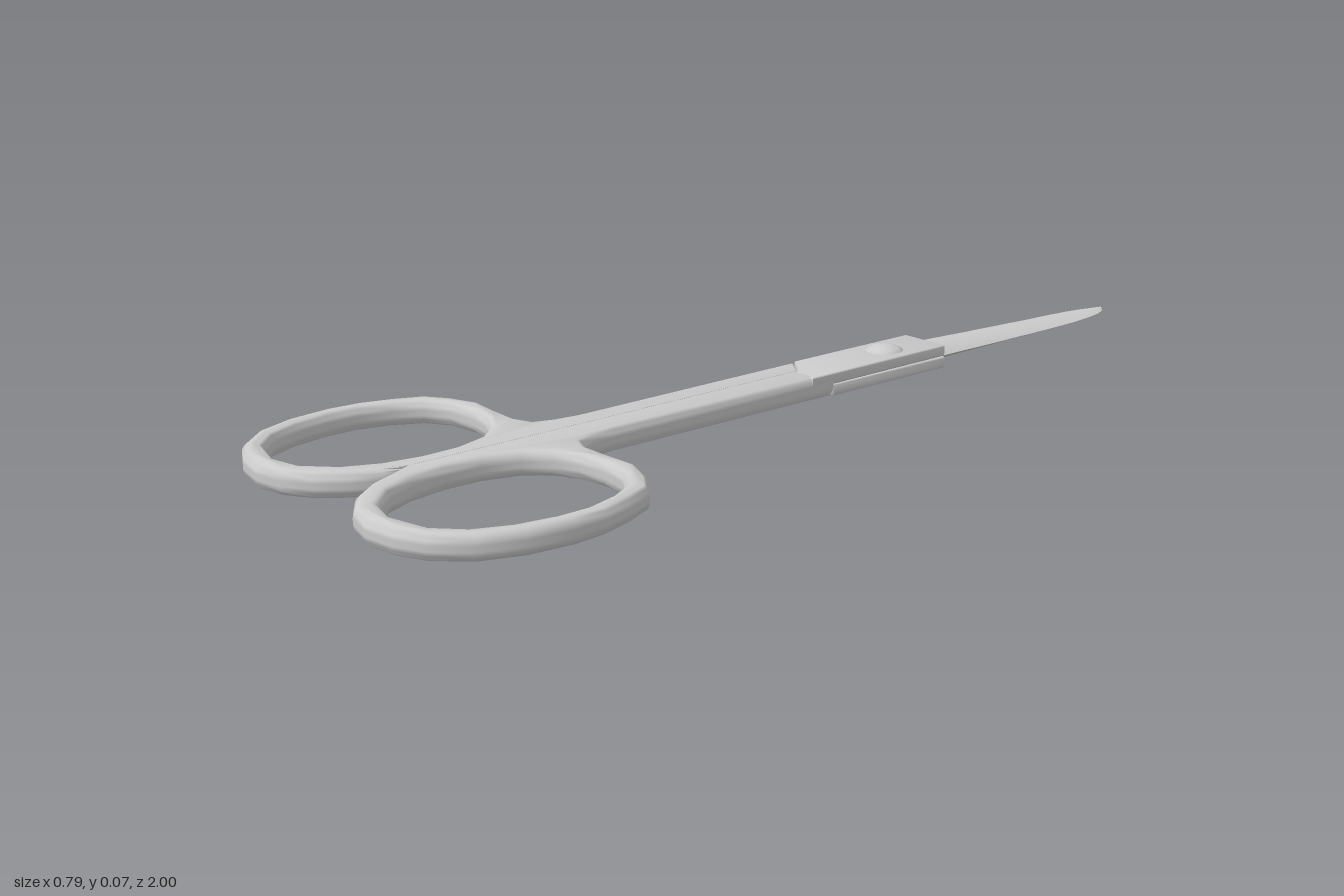
import * as THREE from 'three';
import { toCreasedNormals } from 'three/addons/utils/BufferGeometryUtils.js';

const MID = 0.036;   // height of the plane where the halves meet
const HALF = 0.024;  // half the thickness of the metal
const PIVOT_Z = -0.31;
const material = new THREE.MeshStandardMaterial({ color: 0xcccccc });

const points = (list) => list.map(([x, z]) => new THREE.Vector2(x, -z));

// Extrudes an outline given as [x, z] upwards from y0 to y1, with rounded edges kept inside the outline
function slab(outline, holes, y0, y1, bevel, rise) {
  const shape = new THREE.Shape(points(outline));
  shape.holes = holes.map((hole) => new THREE.Path(points(hole)));
  const geometry = new THREE.ExtrudeGeometry(shape, {
    depth: y1 - y0 - 2 * rise,
    bevelSize: bevel,
    bevelOffset: -bevel,
    bevelThickness: rise,
    bevelSegments: 4,
  });
  geometry.rotateX(-Math.PI / 2);
  geometry.translate(0, y0 + rise, 0);
  return geometry;
}

function addMesh(group, name, geometry, crease) {
  const mesh = new THREE.Mesh(toCreasedNormals(geometry, crease), material);
  mesh.name = name;
  group.add(mesh);
}

// Shank flowing into an oval finger ring (outline clockwise from above, hole the other way)
const handleOutline = [
  [0, -0.075], [0.057, -0.115], [0.057, 0.42], [0.064, 0.47], [0.076, 0.503], [0.11, 0.516],
  [0.17, 0.515], [0.24, 0.51], [0.3, 0.533], [0.345, 0.565], [0.37, 0.62], [0.388, 0.68],
  [0.393, 0.745], [0.382, 0.83], [0.352, 0.905], [0.3, 0.96], [0.245, 0.986], [0.18, 0.996],
  [0.12, 0.982], [0.07, 0.95], [0.03, 0.9], [0.008, 0.85], [0, 0.81],
];
const ringHole = [
  [0.062, 0.625], [0.042, 0.69], [0.04, 0.76], [0.052, 0.83], [0.08, 0.89], [0.13, 0.937],
  [0.19, 0.952], [0.27, 0.932], [0.315, 0.89], [0.342, 0.83], [0.355, 0.76], [0.355, 0.7],
  [0.338, 0.64], [0.31, 0.59], [0.265, 0.56], [0.2, 0.552], [0.145, 0.56], [0.1, 0.582],
];

function handleGeometry() {
  const bevel = 0.015;
  const geometry = slab(handleOutline, [ringHole], -HALF, HALF, bevel, 0.019);
  // Square the inner edge, where the two shanks lie against each other
  const p = geometry.attributes.position;
  for (let i = 0; i < p.count; i++) {
    if (p.getX(i) < bevel + 0.0002 && p.getZ(i) < 0.83) p.setX(i, 0.0005);
  }
  return geometry;
}

// Half-thickness plate that crosses over the other half
const jointOutline = [
  [-0.057, -0.43], [0.055, -0.43], [0.057, -0.06], [0, -0.06], [0, -0.075], [-0.057, -0.115],
];

// Blade stations from root to tip: z, left edge, right edge
const bladeStations = [
  [-0.41, -0.051, 0.05], [-0.47, -0.05, 0.051], [-0.6, -0.045, 0.052], [-0.7, -0.04, 0.052],
  [-0.78, -0.035, 0.051], [-0.85, -0.031, 0.049], [-0.91, -0.025, 0.042], [-0.95, -0.018, 0.034],
  [-0.975, -0.011, 0.024], [-0.99, -0.006, 0.013], [-1, 0, 0.002],
];

// Blade with a flat inner face and a domed outer face, thinning to its edges and tip
function bladeGeometry(side) {
  const rows = bladeStations.length - 1;
  const geometry = new THREE.CylinderGeometry(1, 1, 1, 16, rows, true);
  geometry.rotateX(Math.PI / 2);
  const p = geometry.attributes.position;
  for (let i = 0; i < p.count; i++) {
    const [z, left, right] = bladeStations[Math.round((0.5 - p.getZ(i)) * rows)];
    const edges = side > 0 ? [left, right] : [-right, -left];
    const height = THREE.MathUtils.lerp(0.002, 0.021, (z + 1) / 0.59);
    const bulge = Math.max(0, p.getY(i));
    p.setXYZ(i, THREE.MathUtils.lerp(...edges, (p.getX(i) + 1) / 2), height * bulge * bulge, z);
  }
  return geometry;
}

function buildHalf(name, side) {
  const half = new THREE.Group();
  half.name = name;
  addMesh(half, 'handle', handleGeometry(), 0.8);
  addMesh(half, 'jointPlate', slab(jointOutline, [], 0, HALF, 0.004, 0.004), 0.7);
  addMesh(half, 'blade', bladeGeometry(side), 0.7);

  // Low domed rivet head
  const profile = [[0.04, 0.022], [0.038, 0.025], [0.03, 0.03], [0.017, 0.0345], [0, 0.036]];
  const dome = new THREE.LatheGeometry(profile.map(([r, y]) => new THREE.Vector2(r, y)), 20);
  dome.translate(0, 0, PIVOT_Z);
  addMesh(half, 'rivetHead', dome, 1);

  half.position.y = MID;
  return half;
}

export function createModel() {
  const model = new THREE.Group();
  model.name = 'scissors';
  const upper = buildHalf('upperHalf', 1);
  // The other half is turned over; its blade outline is flipped so both blades line up
  const lower = buildHalf('lowerHalf', -1);
  lower.rotation.z = Math.PI;
  model.add(upper, lower);
  return model;
}
